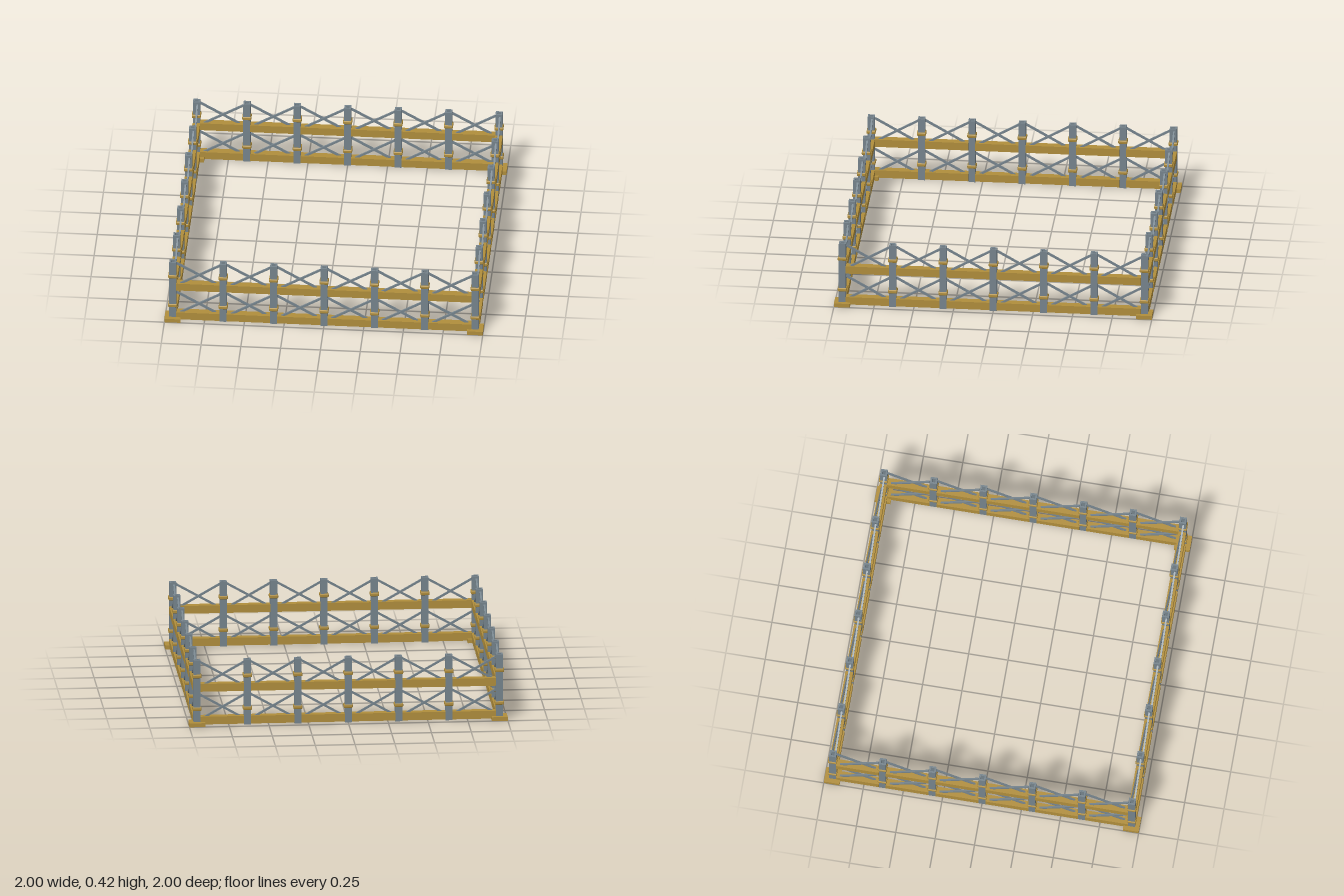
import * as THREE from 'three';
import { RoundedBoxGeometry } from 'three/addons/geometries/RoundedBoxGeometry.js';

const EDGE = 0.95;          // distance from the centre to each fence line
const BAYS = 6;
const STEP = (2 * EDGE) / BAYS;
const POST = 0.044;

export function createModel() {
  const steel = new THREE.MeshStandardMaterial({ color: 0x76848d });
  steel.name = 'blue grey steel';
  const ochre = new THREE.MeshStandardMaterial({ color: 0xb08e3c });
  ochre.name = 'ochre';

  const add = (parent, name, geometry, material, x, y, z) => {
    const mesh = new THREE.Mesh(geometry, material);
    mesh.name = name;
    mesh.position.set(x, y, z);
    parent.add(mesh);
    return mesh;
  };

  // square tube for the posts, open at the top
  const square = (path, h) => path.moveTo(-h, -h).lineTo(h, -h).lineTo(h, h).lineTo(-h, h).closePath();
  const section = square(new THREE.Shape(), POST / 2);
  section.holes.push(square(new THREE.Path(), 0.011));
  const postGeo = new THREE.ExtrudeGeometry(section, { depth: 0.42, bevelEnabled: false });
  postGeo.rotateX(-Math.PI / 2);

  const clear = STEP - POST;
  const rise = 0.155;
  const railGeo = new THREE.BoxGeometry(clear, 0.05, 0.048);
  const braceGeo = new THREE.BoxGeometry(Math.hypot(clear, rise), 0.013, 0.011);
  const bandGeo = new RoundedBoxGeometry(0.057, 0.023, 0.057, 1, 0.006);
  const footGeo = new THREE.BoxGeometry(0.1, 0.025, 0.1);

  // one side: each starts at a corner post and stops before the next corner
  const makeSide = (name) => {
    const side = new THREE.Group();
    side.name = name;
    add(side, 'cornerFoot', footGeo, ochre, -EDGE, 0.0125, EDGE);

    for (let i = 0; i < BAYS; i++) {
      const x = -EDGE + i * STEP;
      const mid = x + STEP / 2;
      add(side, 'post', postGeo, steel, x, 0.004, EDGE);

      // two tiers, each with a rail, a collar and crossed braces
      for (const y of [0.035, 0.247]) {
        add(side, 'rail', railGeo, ochre, mid, y, EDGE);
        add(side, 'collar', bandGeo, ochre, x, y + 0.074, EDGE);
        for (const s of [-1, 1]) {
          const brace = add(side, 'brace', braceGeo, steel, mid, y + 0.082, EDGE + s * 0.006);
          brace.rotation.z = s * Math.atan2(rise, clear);
        }
      }
    }
    return side;
  };

  const model = new THREE.Group();
  model.name = 'squareFence';
  ['frontSide', 'leftSide', 'backSide', 'rightSide'].forEach((name, i) => {
    const side = makeSide(name);
    side.rotation.y = (i * Math.PI) / 2;
    model.add(side);
  });
  return model;
}
